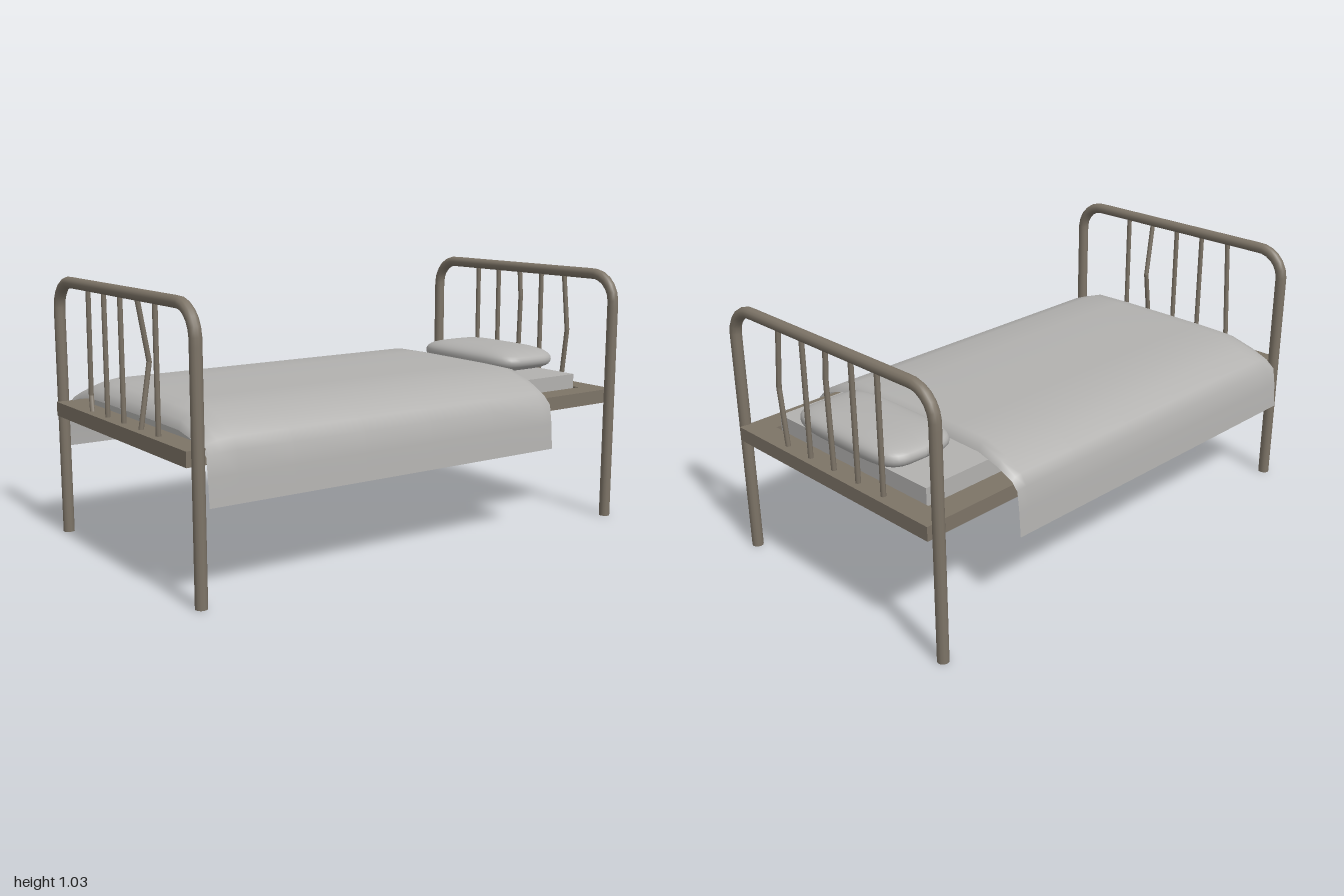
import * as THREE from 'three';

const metal = new THREE.MeshStandardMaterial({ name: 'brownMetal', color: 0x7d7467 });
const cloth = new THREE.MeshStandardMaterial({ name: 'greyCloth', color: 0xb2b1af, side: THREE.DoubleSide });

function part(name, geometry, material, x = 0, y = 0, z = 0) {
  const mesh = new THREE.Mesh(geometry, material);
  mesh.name = name;
  mesh.position.set(x, y, z);
  return mesh;
}

const V = (x, y, z = 0) => new THREE.Vector3(x, y, z);

// Arched tube from one foot to the other, with capped feet and five thin bars
function bedEnd(name, z, bends) {
  const group = new THREE.Group();
  group.name = name;
  group.position.z = z;
  const w = 0.547, top = 1.008, r = 0.11, k = r * 0.45;
  const path = new THREE.CurvePath();
  path.add(new THREE.LineCurve3(V(-w, 0), V(-w, top - r)));
  path.add(new THREE.CubicBezierCurve3(V(-w, top - r), V(-w, top - k), V(-w + k, top), V(-w + r, top)));
  path.add(new THREE.LineCurve3(V(-w + r, top), V(w - r, top)));
  path.add(new THREE.CubicBezierCurve3(V(w - r, top), V(w - k, top), V(w, top - k), V(w, top - r)));
  path.add(new THREE.LineCurve3(V(w, top - r), V(w, 0)));
  group.add(part('archedTube', new THREE.TubeGeometry(path, 100, 0.022, 12), metal));
  for (const s of [-1, 1]) {
    group.add(part('footCap', new THREE.CircleGeometry(0.022, 12).rotateX(Math.PI / 2), metal, s * w, 0, 0));
  }
  for (let i = 0; i < 5; i++) {
    const x = (i - 2) * 0.135;
    const points = [V(x, 0.525), ...(bends[i] ? [bends[i]] : []), V(x, 1.0)];
    // Straight runs between points leave a kink in bent bars
    for (let j = 1; j < points.length; j++) {
      const run = new THREE.LineCurve3(points[j - 1], points[j]);
      group.add(part('bar', new THREE.TubeGeometry(run, 1, 0.01, 8), metal));
    }
    if (bends[i]) group.add(part('barKink', new THREE.SphereGeometry(0.01, 8, 6), metal, ...bends[i].toArray()));
  }
  return group;
}

// Flat frame with an opening for the mattress
function frameGeometry() {
  const rect = (target, x, y) => target.moveTo(-x, -y).lineTo(x, -y).lineTo(x, y).lineTo(-x, y).closePath();
  const shape = rect(new THREE.Shape(), 0.53, 1.0);
  shape.holes.push(rect(new THREE.Path(), 0.43, 0.905));
  return new THREE.ExtrudeGeometry(shape, { depth: 0.055, bevelEnabled: false }).rotateX(-Math.PI / 2);
}

// Draped sheet: one cross-section swept along z, lowered at both ends
function blanketGeometry() {
  const half = [[0, 0.64], [0.2, 0.64], [0.36, 0.636], [0.46, 0.6], [0.53, 0.56], [0.558, 0.52], [0.568, 0.44], [0.575, 0.34]];
  const section = [...half.slice(1).reverse().map(([x, y]) => [-x, y]), ...half];
  const rows = [[-0.605, 0.035], [-0.59, 0.004], [-0.56, 0], [-0.3, 0], [0, 0], [0.3, 0], [0.6, 0], [0.82, 0], [0.88, 0.01], [0.925, 0.035], [0.935, 0.07]];
  const positions = [], index = [], n = section.length;
  rows.forEach(([z, drop], j) => section.forEach(([x, y], i) => {
    const onTop = THREE.MathUtils.clamp((y - 0.5) / 0.14, 0, 1);
    positions.push(x - 0.014 * z * (1 - onTop), y - drop * onTop, z);
    if (j && i) {
      const d = j * n + i, c = d - 1, b = d - n, a = b - 1;
      index.push(a, c, b, b, c, d);
    }
  }));
  const geometry = new THREE.BufferGeometry();
  geometry.setAttribute('position', new THREE.Float32BufferAttribute(positions, 3));
  geometry.setIndex(index);
  geometry.computeVertexNormals();
  return geometry;
}

// Sphere squared off in plan and flattened into a cushion
function pillowGeometry() {
  const geometry = new THREE.SphereGeometry(1, 40, 20);
  const p = geometry.attributes.position;
  const pow = (v, e) => Math.sign(v) * Math.abs(v) ** e;
  for (let i = 0; i < p.count; i++) {
    const x = p.getX(i), y = p.getY(i), z = p.getZ(i);
    const r = Math.hypot(x, z) || 1, spread = Math.min(r, 1) ** 0.6;
    p.setXYZ(i, pow(x / r, 0.45) * spread * 0.29, pow(y, 0.85) * 0.053, pow(z / r, 0.45) * spread * 0.162);
  }
  geometry.computeVertexNormals();
  return geometry;
}

export function createModel() {
  const bed = new THREE.Group();
  bed.name = 'bed';

  // Ends, each with a couple of bent bars
  bed.add(bedEnd('footboard', 0.965, { 0: V(-0.3, 0.59, -0.01), 3: V(0.125, 0.77, -0.045) }));
  bed.add(bedEnd('headboard', -0.965, { 2: V(0.01, 0.88, 0), 4: V(0.297, 0.76, 0) }));

  // Frame and its slightly recessed base
  bed.add(part('frame', frameGeometry(), metal, 0, 0.48, 0));
  bed.add(part('basePanel', new THREE.BoxGeometry(0.86, 0.015, 1.81), metal, 0, 0.4915, 0));

  // Bedding
  bed.add(part('mattress', new THREE.BoxGeometry(0.82, 0.092, 1.79), cloth, 0, 0.544, 0));
  bed.add(part('pillow', pillowGeometry(), cloth, 0, 0.637, -0.78));
  bed.add(part('blanket', blanketGeometry(), cloth));
  return bed;
}
